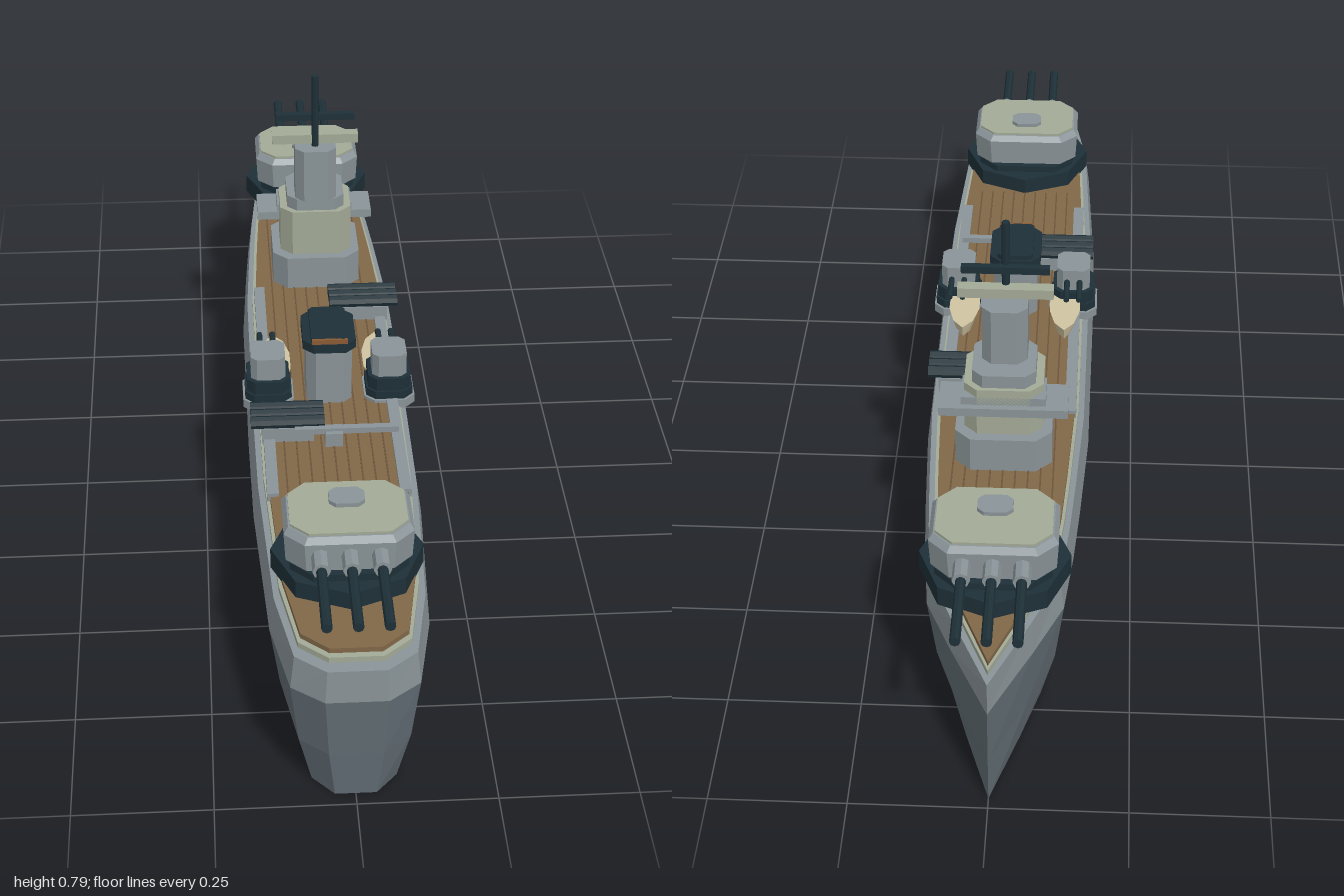
import * as THREE from 'three';

const mat = (name, color, extra = {}) => {
  const m = new THREE.MeshStandardMaterial({ color });
  m.name = name;
  m.flatShading = true;
  return Object.assign(m, extra);
};

export function createModel() {
  const ship = new THREE.Group();
  ship.name = 'warship';
  const hullGray = mat('hull gray', 0x626d74, { side: THREE.DoubleSide });
  const gray = mat('light gray', 0x8a9498, { side: THREE.DoubleSide });
  const navy = mat('dark navy', 0x1e3038);
  const khaki = mat('khaki', 0xa3aa96);
  const wood = mat('deck wood', 0x816748);
  const seam = mat('deck seam', 0x6b543a);
  const cream = mat('boat cream', 0xd0c4a2);
  const rust = mat('funnel rust', 0x8a5a34);

  const add = (parent, name, geo, material, x = 0, y = 0, z = 0) => {
    const m = new THREE.Mesh(geo, material);
    m.name = name;
    m.position.set(x, y, z);
    parent.add(m);
    return m;
  };
  const group = (name, x, y, z) => {
    const g = new THREE.Group();
    g.name = name;
    g.position.set(x, y, z);
    ship.add(g);
    return g;
  };

  // Solid through stacked rings {y, pts}, points clockwise from above; either end may stay open
  const loft = (rings, bottom = true, top = true) => {
    const n = rings[0].pts.length, last = rings.length - 1, pos = [], idx = [];
    for (const r of rings) for (const [x, z] of r.pts) pos.push(x, r.y, z);
    for (let k = 0; k < last; k++) for (let i = 0; i < n; i++) {
      const j = (i + 1) % n, a = k * n + i, b = k * n + j;
      idx.push(a, a + n, b, b, a + n, b + n);
    }
    const c = pos.length / 3;
    pos.push(0, rings[0].y, 0, 0, rings[last].y, 0);
    for (let i = 0; i < n; i++) {
      const j = (i + 1) % n;
      if (bottom) idx.push(c, i, j);
      if (top) idx.push(c + 1, last * n + j, last * n + i);
    }
    const g = new THREE.BufferGeometry();
    g.setAttribute('position', new THREE.Float32BufferAttribute(pos, 3));
    g.setIndex(idx);
    const flat = g.toNonIndexed();
    flat.computeVertexNormals();
    return flat;
  };
  const oct = (w, d, c) => [[c - w, -d], [w - c, -d], [w, c - d], [w, d - c], [w - c, d], [c - w, d], [-w, d - c], [-w, c - d]];
  // Chamfered block given by half width, half depth, chamfer and heights
  const block = (w, d, c, y0, y1) => loft([{ y: y0, pts: oct(w, d, c) }, { y: y1, pts: oct(w, d, c) }]);
  const box = (w, h, d) => new THREE.BoxGeometry(w, h, d);
  const rod = (r, len, axis, sides = 8) => {
    const g = new THREE.CylinderGeometry(r, r, len, sides);
    if (axis === 'z') g.rotateX(Math.PI / 2);
    if (axis === 'x') g.rotateZ(Math.PI / 2);
    return g;
  };

  // Hull outline, bow at -z, blunt stern at +z
  const half = [[0.074, -0.84], [0.125, -0.72], [0.139, -0.58], [0.148, -0.45], [0.16, -0.23], [0.162, 0.2], [0.16, 0.45], [0.143, 0.79], [0.113, 0.95], [0.055, 0.995]];
  const outline = [[0, -1], ...half, ...half.slice().reverse().map(([x, z]) => [-x, z])];
  const ring = (y, sx, sz) => ({ y, pts: outline.map(([x, z]) => [x * sx, z * sz]) });
  // Hull is an open shell underneath
  add(ship, 'lower hull', loft([ring(0, 0.67, 0.977), ring(0.1, 0.875, 0.987), ring(0.225, 1, 0.997)], false, false), hullGray);
  add(ship, 'upper hull band', loft([ring(0.225, 1, 0.997), ring(0.293, 0.94, 0.997)], false), gray);
  add(ship, 'deck edge', loft([ring(0.293, 0.87, 0.972), ring(0.304, 0.87, 0.972)]), khaki);
  add(ship, 'deck', loft([ring(0.304, 0.83, 0.96), ring(0.314, 0.83, 0.96)]), wood);
  for (let i = -4; i <= 4; i++) add(ship, 'deckSeam', box(0.003, 0.002, 1.16), seam, i * 0.024, 0.3145, 0);
  for (const s of [-1, 1]) add(ship, 'sideWalkway', box(0.022, 0.02, 0.76), gray, s * 0.124, 0.311, 0.13);

  // Main turrets with triple guns
  for (const s of [1, -1]) {
    const t = group(s > 0 ? 'aftTurret' : 'foreTurret', 0, 0, s * 0.715);
    if (s < 0) t.rotation.y = Math.PI;
    add(t, 'barbette', new THREE.CylinderGeometry(0.137, 0.137, 0.04, 8), navy, 0, 0.328, 0);
    add(t, 'turretRing', block(0.105, 0.1, 0.04, 0.346, 0.362), navy);
    add(t, 'gunHouse', loft([
      { y: 0.362, pts: oct(0.112, 0.086, 0.035) },
      { y: 0.418, pts: oct(0.115, 0.088, 0.035) },
      { y: 0.43, pts: oct(0.107, 0.08, 0.033) }]), gray);
    add(t, 'turretRoof', block(0.104, 0.077, 0.032, 0.429, 0.435), khaki);
    add(t, 'roofHatch', block(0.032, 0.025, 0.012, 0.434, 0.443), gray, 0, 0, -0.023);
    for (const x of [-0.053, 0, 0.053]) {
      add(t, 'gunSleeve', rod(0.016, 0.06, 'z'), gray, x, 0.393, 0.1);
      add(t, 'gunBarrel', rod(0.0095, 0.19, 'z'), navy, x, 0.393, 0.19);
    }
  }

  // Bridge tower
  const b = group('bridgeTower', 0, 0, -0.345);
  add(b, 'bridgeBase', block(0.092, 0.09, 0.03, 0.313, 0.386), gray);
  add(b, 'bridgeDeck', block(0.075, 0.07, 0.025, 0.386, 0.487), khaki);
  add(b, 'bridgeRoof', block(0.06, 0.062, 0.02, 0.487, 0.514), gray);
  add(b, 'bridgeWings', box(0.244, 0.018, 0.085), gray, 0, 0.444, -0.04);
  add(b, 'bridgeScreen', box(0.16, 0.026, 0.07), gray, 0, 0.457, -0.035);
  add(b, 'towerColumn', block(0.043, 0.047, 0.018, 0.514, 0.63), gray, 0, 0, 0.025);
  add(b, 'rangefinder', box(0.18, 0.02, 0.024), khaki, 0, 0.645, 0.03);
  add(b, 'mast', rod(0.0075, 0.17, 'y'), navy, 0, 0.705, 0.04);
  add(b, 'mastYard', box(0.165, 0.014, 0.014), navy, 0, 0.693, 0.03);

  // Funnel
  const f = group('funnel', 0, 0, 0.143);
  add(f, 'funnelBody', block(0.045, 0.055, 0.018, 0.313, 0.437), gray);
  add(f, 'funnelCap', block(0.052, 0.067, 0.02, 0.437, 0.456), navy);
  add(f, 'funnelMouth', block(0.036, 0.062, 0.008, 0.456, 0.466), navy);
  add(f, 'funnelBand', box(0.07, 0.01, 0.006), rust, 0, 0.461, 0.062);

  // Secondary gun mounts and ship's boats on both sides
  const boatPts = [[0, -0.08], [0.02, -0.055], [0.031, -0.01], [0.031, 0.05], [0.018, 0.08], [-0.018, 0.08], [-0.031, 0.05], [-0.031, -0.01], [-0.02, -0.055]];
  const boatRing = (y, k) => ({ y, pts: boatPts.map(([x, z]) => [x * k, z * (k + 1) / 2]) });
  for (const s of [-1, 1]) {
    const side = s > 0 ? 'left' : 'right';
    const g = group(side + 'GunMount', s * 0.12, 0, 0.15);
    add(g, 'sponson', block(0.05, 0.055, 0.02, 0.302, 0.32), gray);
    add(g, 'sponsonTop', block(0.046, 0.05, 0.018, 0.32, 0.337), navy);
    add(g, 'mountRing', block(0.042, 0.046, 0.016, 0.337, 0.364), navy);
    add(g, 'smallGunHouse', block(0.034, 0.037, 0.012, 0.364, 0.411), gray);
    for (const x of [-0.013, 0.013]) add(g, 'smallGunBarrel', rod(0.006, 0.08, 'z'), navy, x, 0.384, -0.065);
    const boat = group(side + 'Boat', s * 0.104, 0, 0.07);
    add(boat, 'boatHull', loft([boatRing(0.316, 0.65), boatRing(0.347, 1)]), cream);
  }

  // Torpedo launchers lying across the deck
  for (const [x, z] of [[-0.088, 0.295], [0.09, -0.15]]) {
    const g = group('torpedoLauncher', x, 0, z);
    add(g, 'launcherBase', box(0.1, 0.032, 0.07), gray, 0, 0.328, 0);
    for (const k of [-1, 0, 1]) add(g, 'torpedoTube', rod(0.0125, 0.142, 'x'), navy, 0, 0.354, k * 0.025);
  }

  // Deck crane
  const c = group('crane', 0, 0, 0.335);
  add(c, 'cranePost', box(0.034, 0.03, 0.034), gray, 0, 0.328, 0);
  add(c, 'craneArm', box(0.2, 0.012, 0.014), gray, 0.025, 0.343, 0);

  return ship;
}
